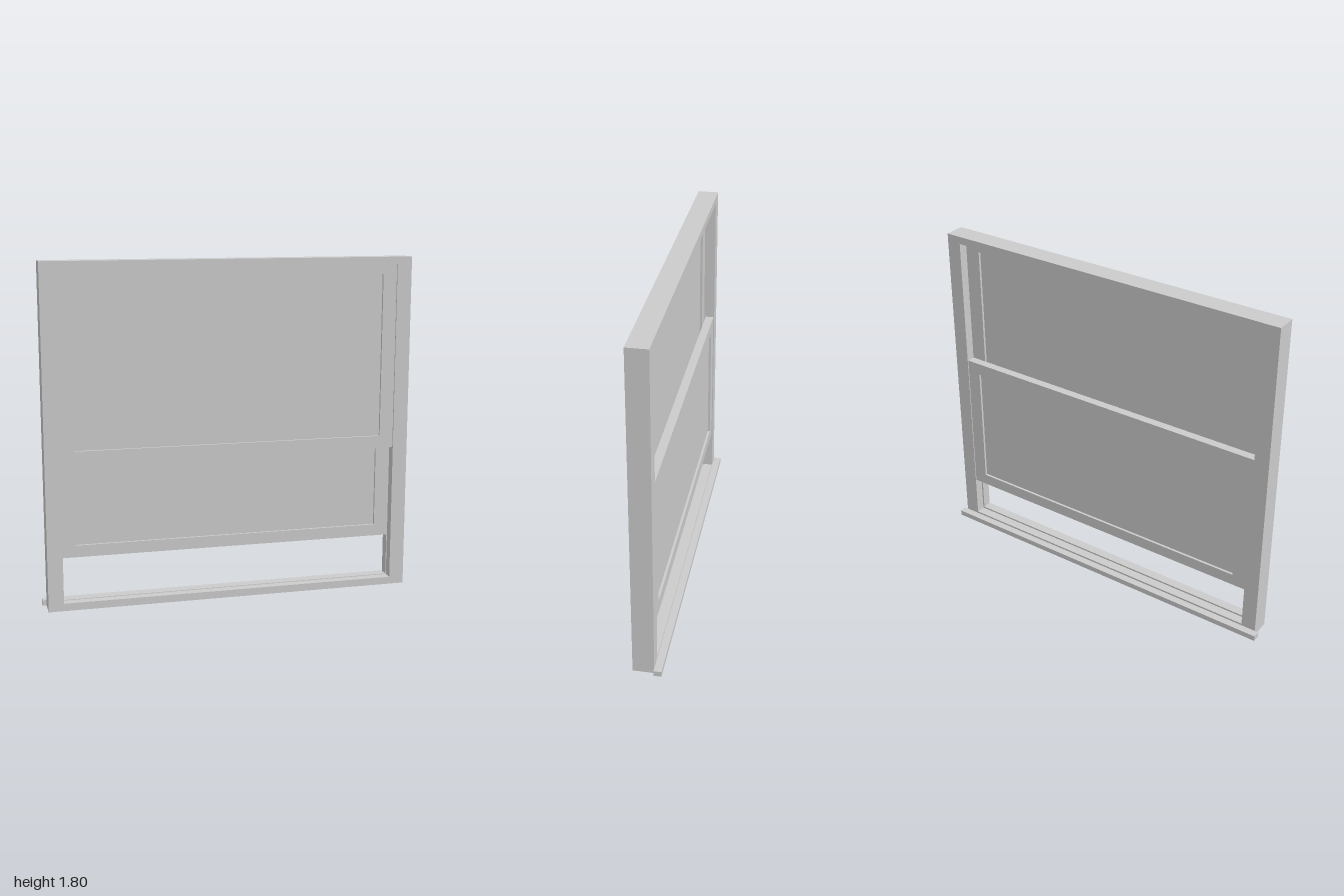
import * as THREE from 'three';

const material = new THREE.MeshStandardMaterial({ color: 0xcccccc });

// Rectangular ring: outer and inner are [x half width, y bottom, y top]
function ring(name, outer, inner, z0, z1) {
  const [ow, ob, ot] = outer;
  const [iw, ib, it] = inner;
  const shape = new THREE.Shape([[-ow, ob], [ow, ob], [ow, ot], [-ow, ot]].map(p => new THREE.Vector2(...p)));
  shape.holes.push(new THREE.Path([[-iw, ib], [-iw, it], [iw, it], [iw, ib]].map(p => new THREE.Vector2(...p))));
  const geometry = new THREE.ExtrudeGeometry(shape, { depth: z1 - z0, bevelEnabled: false });
  geometry.translate(0, 0, z0);
  const mesh = new THREE.Mesh(geometry, material);
  mesh.name = name;
  return mesh;
}

function box(name, halfWidth, y0, y1, z0, z1) {
  const mesh = new THREE.Mesh(new THREE.BoxGeometry(halfWidth * 2, y1 - y0, z1 - z0), material);
  mesh.position.set(0, (y0 + y1) / 2, (z0 + z1) / 2);
  mesh.name = name;
  return mesh;
}

// Sliding sash: a frame with a thin pane recessed on both sides
function sash(name, y0, y1, paneY0, paneY1, z0, z1) {
  const group = new THREE.Group();
  group.name = name;
  const recess = 0.013;
  group.add(
    ring(name + 'Frame', [0.9, y0, y1], [0.825, paneY0, paneY1], z0, z1),
    box(name + 'Pane', 0.825, paneY0, paneY1, z0 + recess, z1 - recess)
  );
  return group;
}

export function createModel() {
  const model = new THREE.Group();
  model.name = 'sashWindow';

  // Outer frame, with a narrow groove between the two sash tracks
  const frame = new THREE.Group();
  frame.name = 'frame';
  const outer = [0.98, 0, 1.8];
  const opening = [0.9, 0.04, 1.76];
  frame.add(
    ring('frontTrack', outer, opening, 0.025, 0.075),
    ring('trackGroove', outer, [0.91, 0.03, 1.77], 0.015, 0.025),
    ring('backTrack', outer, opening, -0.035, 0.015)
  );
  model.add(frame);

  // Upper sash runs in front, the partly raised lower sash behind it
  model.add(sash('upperSash', 0.775, 1.76, 0.84, 1.71, 0.025, 0.067));
  model.add(sash('lowerSash', 0.267, 1.065, 0.33, 1.0, -0.03, 0.015));

  // Projecting sill strip along the back
  model.add(box('sill', 1, 0, 0.03, -0.075, -0.035));

  return model;
}
